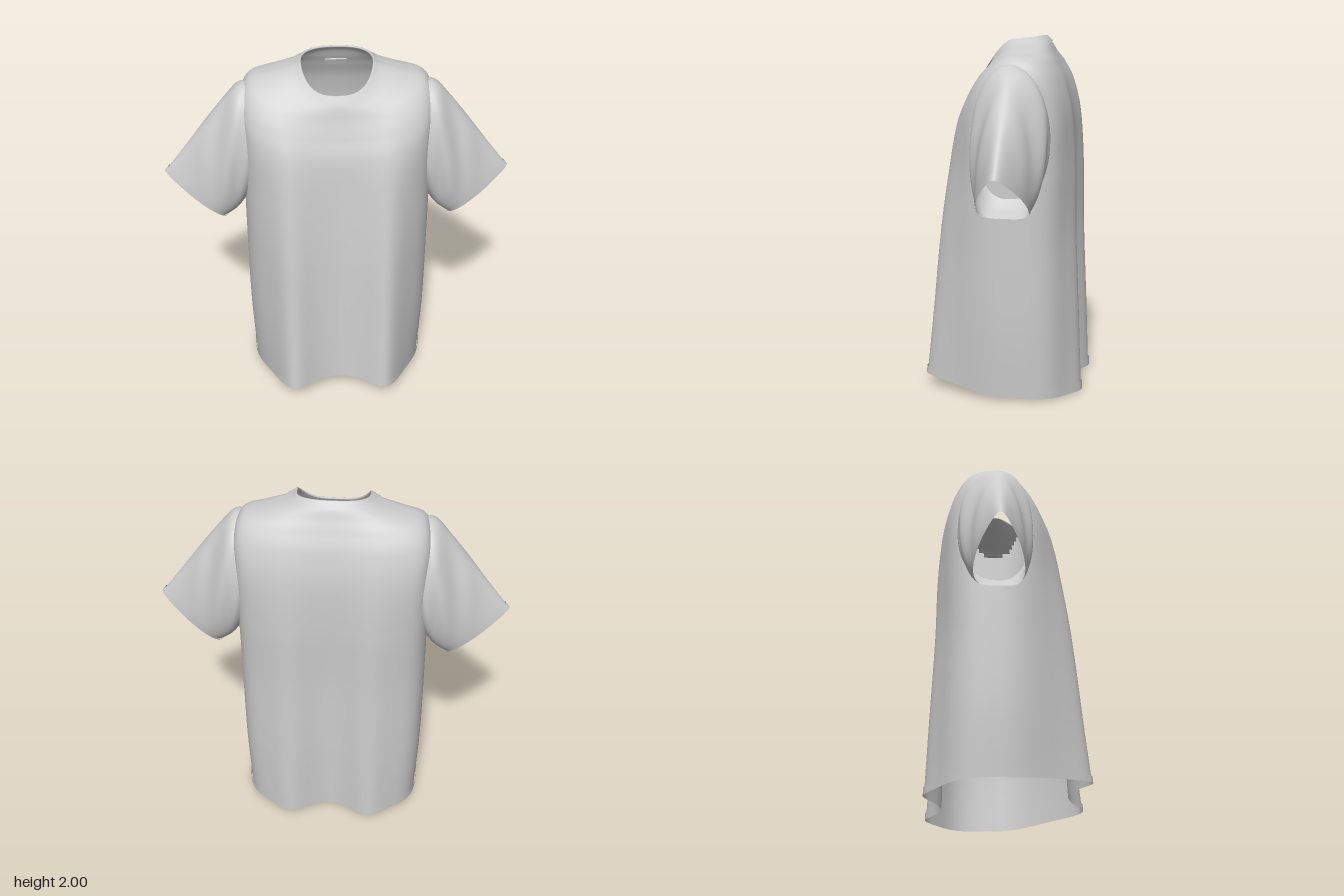
import * as THREE from 'three';

// Catmull-Rom blend between rows of parameters
function sample(rows, t) {
  const n = rows.length - 1;
  const i = Math.min(Math.floor(t), n - 1), f = t - i;
  const at = (k) => rows[Math.max(0, Math.min(n, k))];
  return rows[i].map((_, k) => {
    const a = at(i - 1)[k], b = at(i)[k], c = at(i + 1)[k], d = at(i + 2)[k];
    return b + 0.5 * f * (c - a + f * (2 * a - 5 * b + 4 * c - d + f * (3 * (b - c) + d - a)));
  });
}

// Closed loops of fn(angle, t) joined into a smooth open tube
function loft(fn, t0, t1, nu, nv, offset = 0, skip = () => false) {
  const pos = [], index = [];
  for (let j = 0; j <= nv; j++) {
    for (let i = 0; i < nu; i++) {
      pos.push(...fn((i / nu) * Math.PI * 2, t0 + ((t1 - t0) * j) / nv));
    }
  }
  for (let j = 0; j < nv; j++) {
    for (let i = 0; i < nu; i++) {
      const a = j * nu + i, b = j * nu + ((i + 1) % nu);
      if (skip(pos[a * 3], pos[a * 3 + 1], pos[a * 3 + 2])) continue;
      index.push(a, a + nu, b, b, a + nu, b + nu);
    }
  }
  const geo = new THREE.BufferGeometry();
  geo.setAttribute('position', new THREE.Float32BufferAttribute(pos, 3));
  geo.setIndex(index);
  geo.computeVertexNormals();
  // Push bands slightly proud of the cloth
  if (offset) {
    const p = geo.attributes.position, n = geo.attributes.normal;
    for (let i = 0; i < p.count; i++) {
      p.setXYZ(i, p.getX(i) + n.getX(i) * offset, p.getY(i) + n.getY(i) * offset, p.getZ(i) + n.getZ(i) * offset);
    }
  }
  return geo;
}

// Torso loops, hem to neck:
// half width, side y, side z, front y, front z, back y, back z, front power, back power, fold, edge flatness
const TORSO = [
  [0.505, 0.02, -0.05, 0.08, 0.4, 0.0, -0.4, 2.0, 3.4, 1, 1.5],
  [0.525, 0.4, -0.05, 0.42, 0.37, 0.4, -0.395, 2.1, 3.4, 0.8, 1.3],
  [0.53, 0.9, -0.06, 0.9, 0.328, 0.9, -0.385, 2.3, 3.4, 0.6, 1],
  [0.53, 1.25, -0.07, 1.28, 0.28, 1.28, -0.388, 2.7, 3.8, 0.4, 1],
  [0.53, 1.6, -0.09, 1.5, 0.242, 1.56, -0.375, 3.4, 4.4, 0.2, 1],
  [0.53, 1.77, -0.1, 1.62, 0.198, 1.74, -0.337, 3.4, 4.0, 0.1, 1],
  [0.49, 1.872, -0.1, 1.71, 0.162, 1.85, -0.29, 2.9, 3.2, 0.03, 1.1],
  [0.38, 1.912, -0.09, 1.76, 0.145, 1.91, -0.26, 2.6, 2.7, 0, 1.3],
  [0.25, 1.95, -0.07, 1.8, 0.13, 1.96, -0.237, 2.4, 2.6, 0, 1.6],
  [0.2, 1.977, -0.06, 1.845, 0.105, 1.995, -0.207, 2.4, 2.6, 0, 1.7],
];

const bell = (x, c, w) => Math.exp(-(((x - c) / w) ** 2));

function torsoPoint(a, t) {
  const [w, yS, zS, yF, zF, yB, zB, pF, pB, fold, flat] = sample(TORSO, t);
  const c = Math.cos(a), s = Math.sin(a), front = s > 0;
  const p = front ? pF : pB;
  const r = (Math.abs(c) ** p + Math.abs(s) ** p) ** (-1 / p);
  const x = w * c * r, ax = Math.abs(x);
  const y = yS + ((front ? yF : yB) - yS) * (1 - (c * c) ** flat);
  let z = zS + ((front ? zF : zB) - zS) * Math.abs(s) * r;
  // Hanging folds: two lobes and a hollow centre, front and back
  const drape = Math.min(1, Math.abs(s) * 2) * fold;
  if (front) z += drape * (0.115 * bell(ax, 0.285, 0.11) - 0.06 * bell(x, 0, 0.14));
  else z -= drape * (0.055 * bell(ax, 0.24, 0.1) - 0.045 * bell(x, 0, 0.12));
  return [x, y, z];
}

// Sleeve loops, armhole to cuff: top x, top y, bottom x, bottom y, front z, back z
const SLEEVE = [
  [0.46, 1.85, 0.48, 1.2, 0.11, -0.28],
  [0.545, 1.842, 0.52, 1.15, 0.135, -0.31],
  [0.63, 1.755, 0.55, 1.11, 0.128, -0.295],
  [0.745, 1.61, 0.575, 1.085, 0.115, -0.27],
  [0.865, 1.45, 0.605, 1.065, 0.092, -0.238],
  [0.98, 1.3, 0.632, 1.05, 0.07, -0.207],
];

const sleevePoint = (side) => (a, t) => {
  const [tx, ty, bx, by, zF, zB] = sample(SLEEVE, t);
  const c = Math.cos(a), s = -side * Math.sin(a), k = t / 5;
  const x = (tx + bx) / 2 + ((tx - bx) / 2) * c;
  const y = (ty + by) / 2 + ((ty - by) / 2) * c;
  // Round at the armhole, pear-shaped at the cuff
  const zc = -0.07;
  const width = Math.abs(s) ** (c < 0 ? 1 - 0.5 * k : 1) * (1 - k * (0.15 + 0.45 * c));
  let z = zc + ((s > 0 ? zF : zB) - zc) * width;
  // Soft creases running from shoulder to armpit
  const fade = Math.sin(Math.PI * k) * (1 - k) * s;
  z += 0.022 * fade * Math.sin((Math.PI * 2 * (x + 0.16 * y - 0.81)) / 0.15);
  return [side * x, y, z];
};

export function createModel() {
  const shirt = new THREE.Group();
  shirt.name = 'shirt';
  const cloth = new THREE.MeshStandardMaterial({ color: 0xcccccc, side: THREE.DoubleSide });
  cloth.name = 'light grey cloth';
  const add = (name, geo) => {
    const mesh = new THREE.Mesh(geo, cloth);
    mesh.name = name;
    shirt.add(mesh);
    return mesh;
  };

  // Torso, open where the sleeves join
  const armhole = (x, y, z) =>
    Math.abs(x) > 0.46 && ((y - 1.52) / 0.26) ** 2 + ((z + 0.085) / 0.15) ** 2 < 1;
  add('torso', loft(torsoPoint, 0, 9, 160, 120, 0, armhole));
  add('hemBand', loft(torsoPoint, 0, 0.17, 160, 5, 0.007));
  add('collarBand', loft(torsoPoint, 8.05, 9, 128, 10, 0.006));

  // Rolled neck edge
  const edge = [];
  for (let i = 0; i < 48; i++) edge.push(new THREE.Vector3(...torsoPoint((i / 48) * Math.PI * 2, 9)));
  add('neckEdge', new THREE.TubeGeometry(new THREE.CatmullRomCurve3(edge, true), 128, 0.006, 8, true));

  // Sleeves with cuff bands
  for (const [label, side] of [['left', 1], ['right', -1]]) {
    add(label + 'Sleeve', loft(sleevePoint(side), 0, 5, 80, 50));
    add(label + 'Cuff', loft(sleevePoint(side), 4.74, 5, 80, 5, 0.005));
  }

  // Small blank tag inside the back of the neck
  const tag = add('neckTag', new THREE.BoxGeometry(0.12, 0.03, 0.008));
  tag.position.set(0, 1.885, -0.255);
  tag.rotation.x = 0.4;
  return shirt;
}
